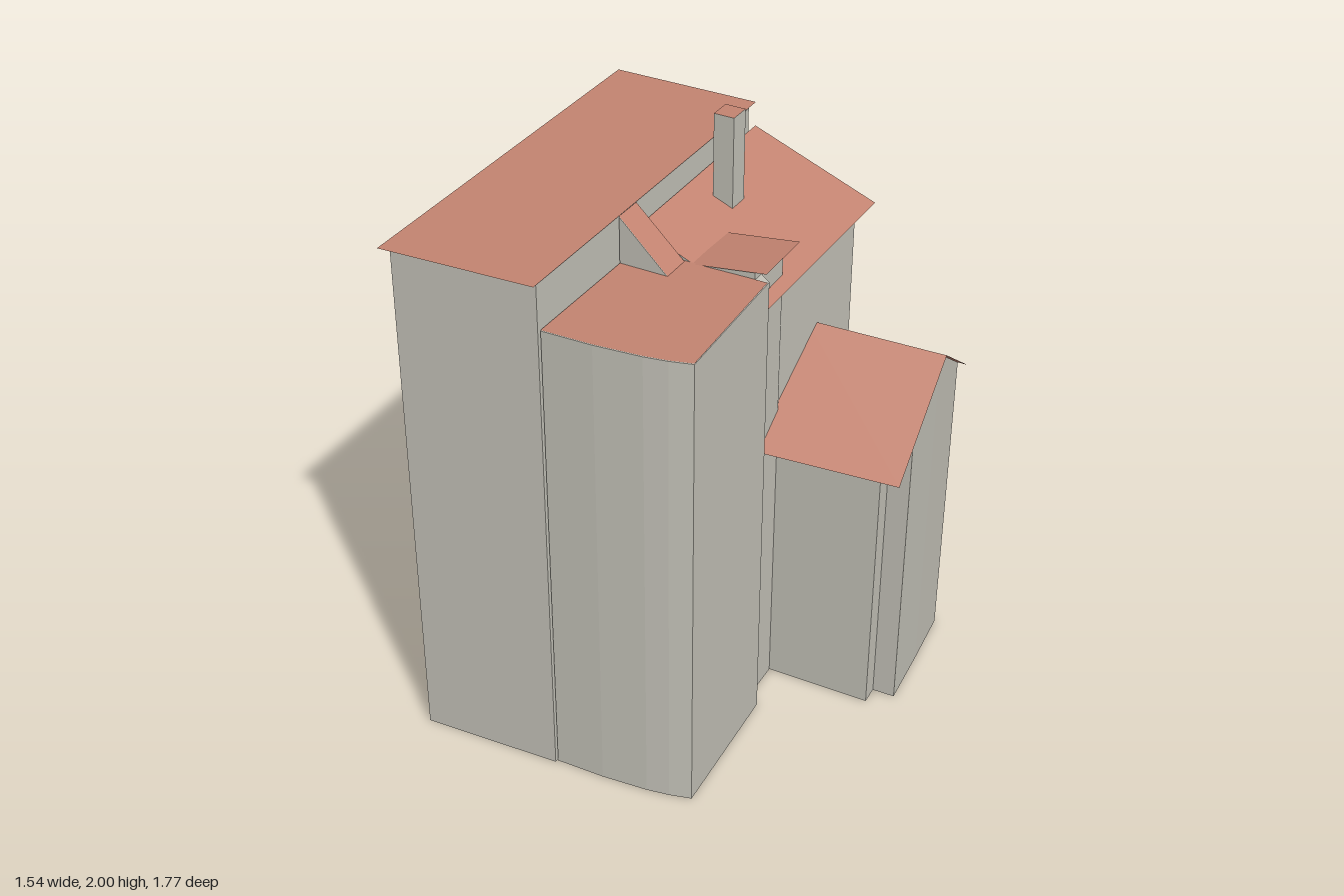
import * as THREE from 'three';

const wall = new THREE.MeshStandardMaterial({ color: 0xc6c4ba, flatShading: true });
wall.name = 'grey wall';
const roof = new THREE.MeshStandardMaterial({ color: 0xc58572, flatShading: true, side: THREE.DoubleSide });
roof.name = 'terracotta roof';

function meshFrom(name, positions, material) {
  const g = new THREE.BufferGeometry();
  g.setAttribute('position', new THREE.Float32BufferAttribute(positions, 3));
  g.computeVertexNormals();
  const m = new THREE.Mesh(g, material);
  m.name = name;
  return m;
}

// Upright block over an [x, z] outline, its top height given by a rule
function prism(name, outline, top, base = 0) {
  let pts = outline.map(([x, z]) => new THREE.Vector2(x, -z));
  if (THREE.ShapeUtils.area(pts) < 0) pts = pts.reverse();
  const lo = pts.map((p) => [p.x, base, -p.y]);
  const hi = pts.map((p) => [p.x, top(p.x, -p.y), -p.y]);
  const out = [];
  pts.forEach((_, i) => {
    const j = (i + 1) % pts.length;
    out.push(...lo[i], ...lo[j], ...hi[j], ...lo[i], ...hi[j], ...hi[i]);
  });
  for (const [a, b, c] of THREE.ShapeUtils.triangulateShape(pts, [])) {
    out.push(...hi[a], ...hi[b], ...hi[c], ...lo[a], ...lo[c], ...lo[b]);
  }
  return meshFrom(name, out, wall);
}

// Thin roof sheet over an [x, z] outline, lifted just off the walls
function sheet(name, outline, height) {
  let pts = outline.map(([x, z]) => new THREE.Vector2(x, -z));
  if (THREE.ShapeUtils.area(pts) < 0) pts = pts.reverse();
  const out = [];
  for (const tri of THREE.ShapeUtils.triangulateShape(pts, [])) {
    for (const i of tri) out.push(pts[i].x, height(pts[i].x, -pts[i].y) + 0.003, -pts[i].y);
  }
  return meshFrom(name, out, roof);
}

export function createModel() {
  const group = new THREE.Group();
  const flat = (y) => () => y;

  // Distance outward from the tall block's long side, and the slopes using it
  const dist = (x, z) => (x + 0.285) * 0.937 - (z + 0.605) * 0.349;
  const leanTo = (x, z) => 1.745 - 0.398 * dist(x, z);
  const dormerTop = (x, z) => 1.667 + 0.127 * (dist(x, z) - 0.18);
  const hatchTop = (x, z) => 1.83 - 0.97 * (dist(x, z) - 0.001);
  // Signed distance from the annex ridge
  const gable = (x, z) => {
    const d = (x - 0.595) * 0.39 + (z + 0.64) * 0.92;
    return 1.26 - (d > 0 ? 0.605 * d : -0.72 * d);
  };

  // Tall block with flat overhanging roof
  group.add(prism('tallBlock', [[-0.725, -0.4], [-0.27, -0.56], [0.175, 0.65], [-0.26, 0.85]], flat(1.83)));
  group.add(sheet('tallRoof', [[-0.77, -0.42], [-0.285, -0.605], [0.19, 0.67], [-0.28, 0.88]], flat(1.83)));

  // Rear wing with a lean-to roof
  group.add(prism('rearWing', [[-0.27, -0.56], [0.1, -0.7], [0.27, -0.22], [0.29, -0.2],
    [0.345, -0.06], [0.345, -0.01], [-0.01, 0.12]], leanTo));
  group.add(sheet('leanToRoof', [[-0.285, -0.605], [0.125, -0.765], [0.4, -0.03], [-0.01, 0.125]], leanTo));

  // Front wing with a bowed front and flat roof
  const bow = [[0.595, 0.42], [0.535, 0.465], [0.47, 0.505], [0.33, 0.575], [0.175, 0.64]];
  const frontOutline = [[-0.01, 0.125], [0.345, -0.01], [0.345, -0.06], [0.397, -0.045], ...bow];
  group.add(prism('frontWing', frontOutline, flat(1.67)));
  group.add(sheet('frontRoof', [[-0.01, 0.125], [0.4, -0.035], ...bow], flat(1.67)));

  // Dormer on the lean-to roof
  group.add(prism('dormer', [[0.115, -0.135], [0.29, -0.2], [0.345, -0.06], [0.36, -0.02], [0.165, 0.06]],
    dormerTop, 1.5));
  group.add(sheet('dormerRoof', [[0.095, -0.15], [0.32, -0.24], [0.4, -0.03], [0.165, 0.065]], dormerTop));

  // Small sloping hatch beside the tall block
  const hatch = [[-0.01, 0.13], [0.145, 0.07], [0.185, 0.165], [0.025, 0.225]];
  group.add(prism('hatch', hatch, hatchTop, 1.6));
  group.add(sheet('hatchRoof', hatch, hatchTop));

  // Gabled annex
  group.add(prism('annex', [[0.26, -0.19], [0.625, -0.34], [0.6, -0.4], [0.67, -0.43],
    [0.576, -0.632], [0.48, -0.83], [0.11, -0.68], [0.2, -0.47]], gable));
  group.add(sheet('annexFrontRoof', [[0.595, -0.64], [0.77, -0.27], [0.3, -0.055], [0.15, -0.451]], gable));
  group.add(sheet('annexBackRoof', [[0.595, -0.64], [0.47, -0.89], [-0.1, -0.675], [-0.09, -0.6], [0.15, -0.451]], gable));

  // Chimney with a capped top
  const chimney = new THREE.Mesh(new THREE.BoxGeometry(0.07, 0.4, 0.075), [wall, wall, roof, wall, wall, wall]);
  chimney.position.set(-0.035, 1.8, -0.265);
  chimney.rotation.y = 0.35;
  chimney.name = 'chimney';
  group.add(chimney);
  return group;
}
